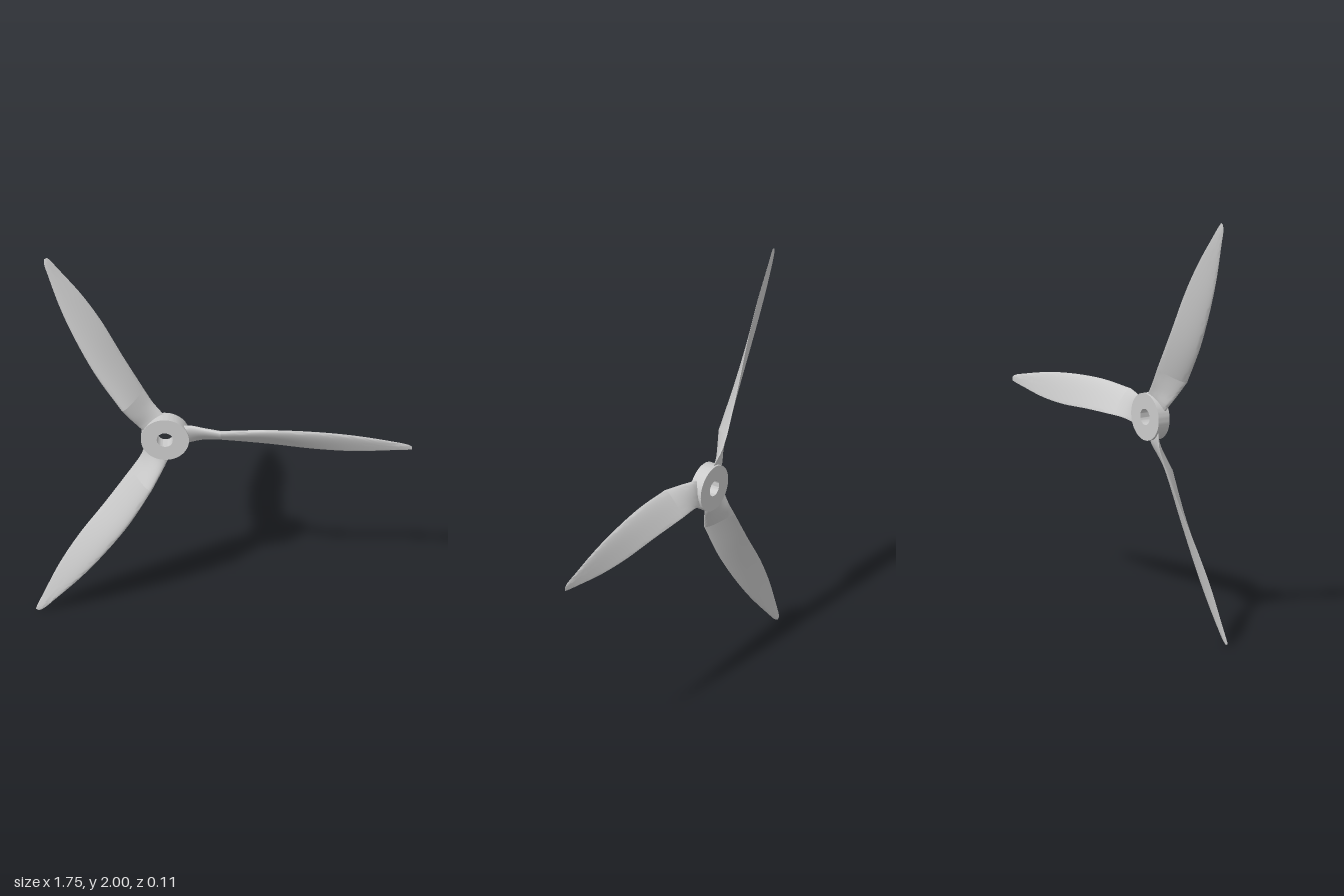
import * as THREE from 'three';
import { toCreasedNormals } from 'three/addons/utils/BufferGeometryUtils.js';

const material = new THREE.MeshStandardMaterial({ color: 0xcccccc });
const AROUND = 28;

// Blade stations: [radius, leadY, leadZ, trailY, trailZ, thickness]
const SHANK = [
  [0.085, 0.070, -0.006, -0.052, -0.036, 0.024],
  [0.12, 0.075, 0.000, -0.044, -0.042, 0.026],
  [0.18, 0.077, 0.024, -0.034, -0.050, 0.027],
  [0.26, 0.079, 0.051, -0.034, -0.053, 0.027],
];
const BLADE = [
  SHANK[3],
  [0.48, 0.088, 0.043, -0.045, -0.043, 0.024],
  [0.70, 0.076, 0.030, -0.061, -0.031, 0.019],
  [0.88, 0.053, 0.018, -0.060, -0.019, 0.013],
  [1.05, 0.018, 0.006, -0.043, -0.008, 0.007],
  [1.13, -0.002, 0.002, -0.034, -0.002, 0.004],
  [1.15, -0.014, 0.000, -0.030, 0.000, 0.000],
];

// Lofts airfoil sections along x through the given stations
function loft(stations, steps) {
  const curve = (pick) => new THREE.CatmullRomCurve3(stations.map(pick), false, 'centripetal');
  const lead = curve((s) => new THREE.Vector3(s[0], s[1], s[2]));
  const trail = curve((s) => new THREE.Vector3(s[0], s[3], s[4]));
  const thick = curve((s) => new THREE.Vector3(s[0], s[5], 0));
  const positions = [];
  const index = [];
  for (let j = 0; j <= steps; j++) {
    const t = j / steps;
    const a = lead.getPoint(t);
    const b = trail.getPoint(t);
    const h = thick.getPoint(t).y;
    const chord = Math.hypot(b.y - a.y, b.z - a.z);
    const ny = (b.z - a.z) / chord;
    const nz = -(b.y - a.y) / chord;
    for (let i = 0; i < AROUND; i++) {
      const ang = (i / AROUND) * Math.PI * 2;
      const u = (1 - Math.cos(ang)) / 2;
      // rounded leading edge, thin trailing edge, fuller front face
      const side = Math.sin(ang) * (1 + 0.6 * Math.cos(ang));
      const off = side * h * (side > 0 ? 0.6 : 0.4);
      const p = a.clone().lerp(b, u);
      positions.push(p.x, p.y + ny * off, p.z + nz * off);
      if (j < steps) {
        const k = (i + 1) % AROUND;
        const r0 = j * AROUND;
        const r1 = r0 + AROUND;
        index.push(r0 + i, r0 + k, r1 + k, r0 + i, r1 + k, r1 + i);
      }
    }
  }
  const geometry = new THREE.BufferGeometry();
  geometry.setAttribute('position', new THREE.Float32BufferAttribute(positions, 3));
  geometry.setIndex(index);
  return toCreasedNormals(geometry, 0.9);
}

function addMesh(parent, name, geometry) {
  const mesh = new THREE.Mesh(geometry, material);
  mesh.name = name;
  parent.add(mesh);
  return mesh;
}

export function createModel() {
  const model = new THREE.Group();
  model.name = 'propeller';
  const rotor = new THREE.Group();
  rotor.name = 'rotor';
  rotor.position.set(-0.277, 0.99, 0);
  model.add(rotor);

  // Hub disc with shaft hole
  const disc = new THREE.Shape().absarc(0, 0, 0.112, 0, Math.PI * 2, false);
  disc.holes.push(new THREE.Path().absarc(0, 0, 0.038, 0, Math.PI * 2, true));
  const hub = new THREE.ExtrudeGeometry(disc, { depth: 0.062, bevelEnabled: false, curveSegments: 48 });
  addMesh(rotor, 'hub', toCreasedNormals(hub, 0.6)).position.z = -0.05;

  // Three twisted blades, each with a shank that meets it at a crease
  const shank = loft(SHANK, 16);
  const blade = loft(BLADE, 60);
  for (let n = 0; n < 3; n++) {
    const arm = new THREE.Group();
    arm.name = 'bladeArm' + (n + 1);
    arm.rotation.z = (n * Math.PI * 2) / 3;
    addMesh(arm, 'bladeShank', shank);
    addMesh(arm, 'blade', blade);
    rotor.add(arm);
  }
  return model;
}
